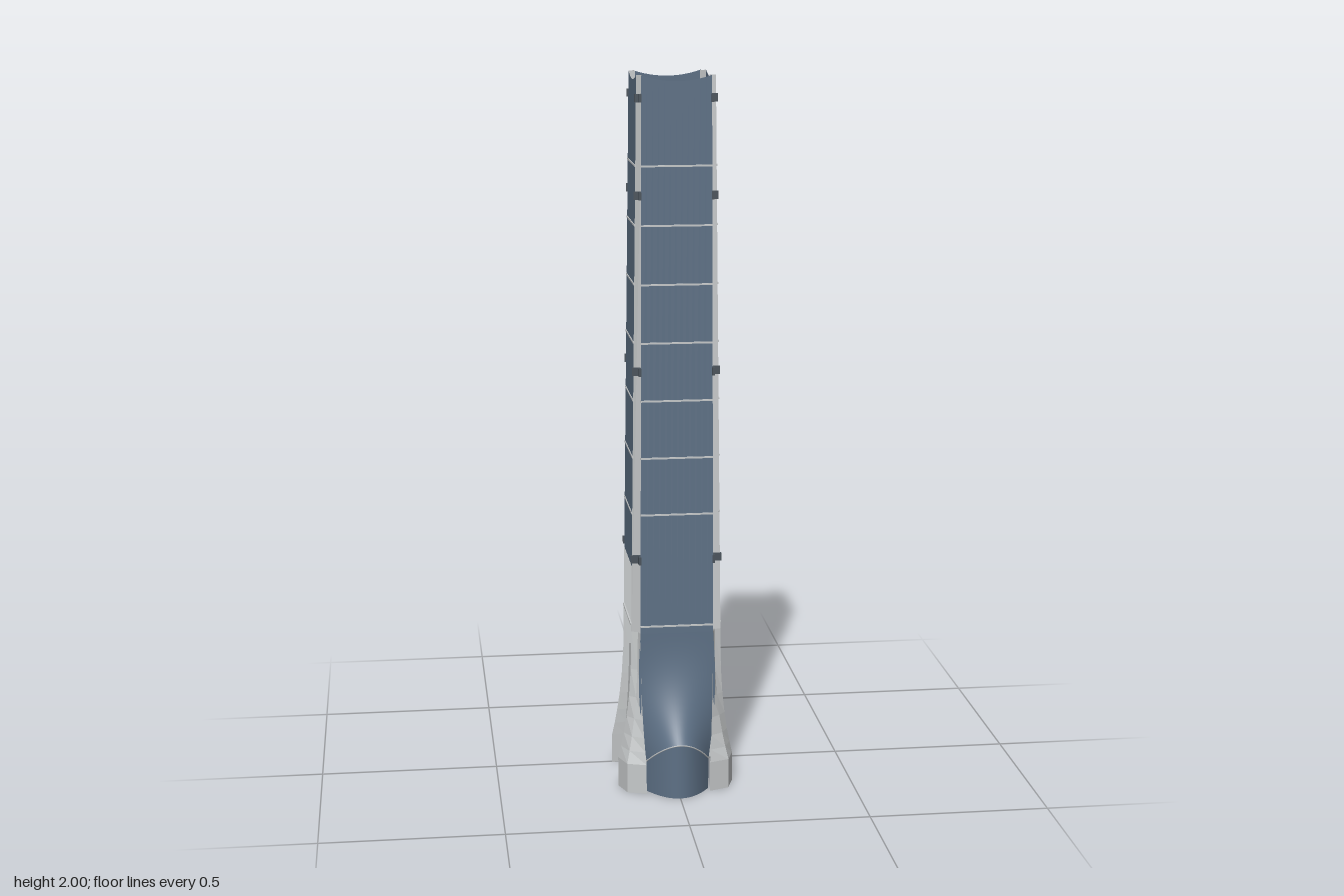
import * as THREE from 'three';

const mat = (name, color, side = THREE.DoubleSide) => {
  const m = new THREE.MeshStandardMaterial({ color, side });
  m.name = name;
  return m;
};

// Tower outline: half depth of a wall and half width of its panel at height y
const CENTRE_Z = 0.0975;
const SHAFT_Y = 0.46;
const lerp = THREE.MathUtils.lerp;
const rise = (y) => (y - SHAFT_Y) / (2 - SHAFT_Y);
const half = (y) => lerp(0.126, 0.107, rise(y));
const panelHalf = (y) => lerp(0.102, 0.095, rise(y));

// Surface through fn(u, v) => [x, y, z], u and v from 0 to 1
function sheet(fn, nu, nv, flat = false) {
  const pos = [], idx = [];
  for (let j = 0; j <= nv; j++) for (let i = 0; i <= nu; i++) pos.push(...fn(i / nu, j / nv));
  for (let j = 0; j < nv; j++) for (let i = 0; i < nu; i++) {
    const a = j * (nu + 1) + i, b = a + 1, c = a + nu + 1, d = c + 1;
    idx.push(a, b, d, a, d, c);
  }
  let g = new THREE.BufferGeometry();
  g.setAttribute('position', new THREE.Float32BufferAttribute(pos, 3));
  g.setIndex(idx);
  if (flat) g = g.toNonIndexed();
  g.computeVertexNormals();
  return g;
}

function add(parent, name, geometry, material) {
  const m = new THREE.Mesh(geometry, material);
  m.name = name;
  parent.add(m);
  return m;
}

// Corner foot: five-sided section shrinking upwards along a concave curve
const FOOT_BASE = [[0.163, 0.09], [0.145, 0.143], [0.09, 0.163], [0.1, 0.125], [0.125, 0.1]];
const FOOT_TOP = [[0.126, 0.102], [0.108, 0.108], [0.102, 0.126], [0.1, 0.11], [0.11, 0.1]];
function footGeometry() {
  const levels = [0, 0.085, 0.12, 0.16, 0.21, 0.27, 0.35, 0.46];
  return sheet((u, v) => {
    const y = levels[Math.round(v * 7)];
    const k = Math.round(u * 5) % 5;
    const t = Math.pow(Math.min(1, (SHAFT_Y - y) / 0.375), 2.5);
    return [lerp(FOOT_TOP[k][0], FOOT_BASE[k][0], t), y, lerp(FOOT_TOP[k][1], FOOT_BASE[k][1], t)];
  }, 5, 7, true);
}

function footSole() {
  const s = new THREE.Shape(FOOT_BASE.map(([x, z]) => new THREE.Vector2(x, z)));
  return new THREE.ShapeGeometry(s).rotateX(Math.PI / 2);
}

// Bell-shaped skirt under a wall, with an arched lower edge and a curved drum below
function addSkirt(parent, side, edge, centre, archTop, power, blue, light) {
  const skirt = new THREE.Group();
  skirt.name = side + 'Skirt';
  const archY = (s) => lerp(archTop, 0.09, s * s);
  const bowZ = (s) => lerp(centre, edge, s * s);
  add(skirt, side + 'Flare', sheet((u, v) => {
    const s = 2 * u - 1;
    const w = 0.102 - 0.014 * v + 0.012 * Math.sin(Math.PI * v);
    return [s * w, lerp(SHAFT_Y, archY(s), v), lerp(half(SHAFT_Y), bowZ(s), Math.pow(v, power))];
  }, 24, 16), blue);
  add(skirt, side + 'Drum', sheet((u, v) => {
    const s = 2 * u - 1;
    return [s * 0.088, archY(s) * (1 - v), bowZ(s) - 0.003];
  }, 24, 1), blue);
  const rim = [];
  for (let i = 0; i <= 16; i++) {
    const s = i / 8 - 1;
    rim.push(new THREE.Vector3(s * 0.088, archY(s), bowZ(s)));
  }
  add(skirt, side + 'ArchRim', new THREE.TubeGeometry(new THREE.CatmullRomCurve3(rim), 32, 0.002, 5), light);
  parent.add(skirt);
  return skirt;
}

export function createModel() {
  const model = new THREE.Group();
  model.name = 'tower';
  const blue = mat('blueGlass', 0x5d7085);
  const light = mat('lightStone', 0xc6c9ca);
  const dark = mat('darkMetal', 0x4a535b);
  const roofGrey = mat('roofGrey', 0x8e979e);

  const body = new THREE.Group();
  body.name = 'towerBody';
  body.position.z = CENTRE_Z;
  model.add(body);

  const foot = footGeometry(), sole = footSole();
  const names = ['front', 'left', 'back', 'right'];
  names.forEach((name, k) => {
    const face = new THREE.Group();
    face.name = name + 'Side';
    face.rotation.y = k * Math.PI / 2;
    body.add(face);

    // Leaning wall with a scooped top; the two flanks stop above a tall opening
    const bottom = k % 2 ? 0.65 : SHAFT_Y;
    add(face, name + 'Wall', sheet((u, v) => {
      const s = 2 * u - 1;
      const y = lerp(bottom, 2 - 0.016 * (1 - s * s), v);
      return [s * panelHalf(y), y, half(y)];
    }, 12, 1), blue);

    // Pale floor lines
    for (let i = 0; i < 9; i++) {
      if (i === 1) continue;
      const y = 0.48 + 0.16 * i;
      const line = add(face, 'floorLine', new THREE.BoxGeometry(2 * panelHalf(y), 0.005, 0.004), light);
      line.position.set(0, y, half(y));
    }

    // Recessed corner column
    add(face, 'cornerColumn', sheet((u, v) => {
      const y = lerp(0.36, 2, v), h = half(y), w = panelHalf(y);
      return [[w, y, h], [w - 0.005, y, w - 0.005], [h, y, w]][Math.round(u * 2)];
    }, 2, 1, true), light);

    // Small brackets in the corner recess
    for (const y of [0.67, 1.2, 1.68, 1.94]) {
      const h = half(y), w = panelHalf(y), d = h - w + 0.004;
      const a = add(face, 'cornerBracket', new THREE.BoxGeometry(0.007, 0.022, d), dark);
      a.position.set(w + 0.002, y, w + d / 2);
      const b = add(face, 'cornerBracket', new THREE.BoxGeometry(d, 0.022, 0.007), dark);
      b.position.set(w + d / 2, y, w + 0.002);
    }

    add(face, 'cornerFoot', foot, light);
    add(face, 'footSole', sole, light);
  });

  // Skirts at front and back
  addSkirt(body, 'front', 0.1425, 0.2125, 0.157, 2.3, blue, light);
  addSkirt(body, 'back', 0.1575, 0.2735, 0.137, 2, blue, light).rotation.y = Math.PI;

  // Tapered entrance block behind the back skirt
  const plan = new THREE.Shape([[-0.054, 0.178], [0.054, 0.178], [0.022, 0.315], [-0.022, 0.315]]
    .map(([x, y]) => new THREE.Vector2(x, y)));
  const block = (depth) => new THREE.ExtrudeGeometry(plan, { depth, bevelEnabled: false }).rotateX(-Math.PI / 2);
  add(model, 'entranceBlock', block(0.135), blue);
  add(model, 'entranceRoof', block(0.004), roofGrey).position.y = 0.135;

  return model;
}
